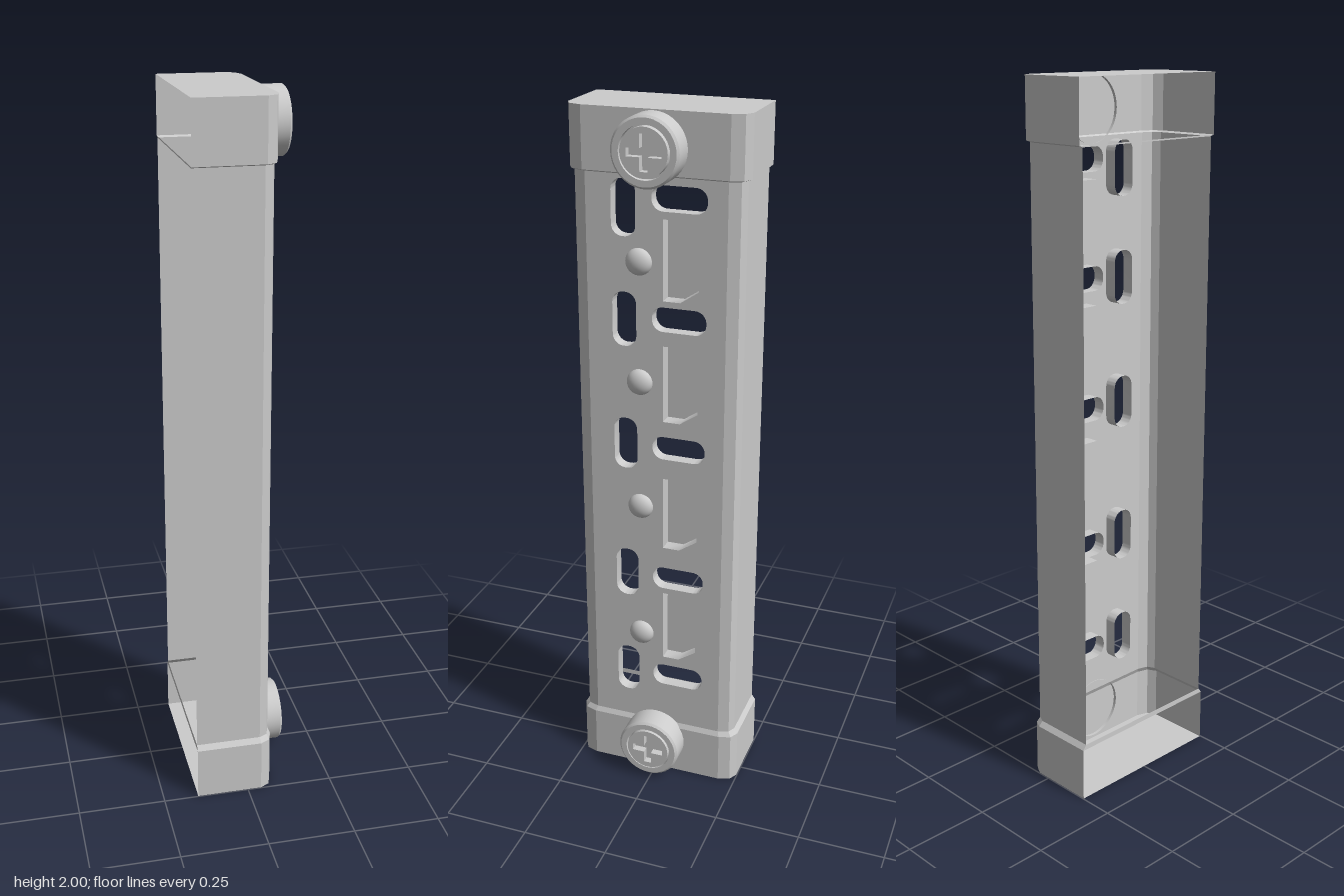
import * as THREE from 'three';
import { toCreasedNormals } from 'three/addons/utils/BufferGeometryUtils.js';

const material = new THREE.MeshStandardMaterial({ color: 0xcccccc, side: THREE.DoubleSide });

// Half cross-sections as [x, z], from the open back round to the front face
const CAP = [[-0.15, 0.248], [0.04, 0.248], [0.066, 0.234], [0.077, 0.2]];
const BODY = [[-0.15, 0.237], [0.037, 0.237], [0.06, 0.226], [0.07, 0.195]];
const FRONT = 0.07;
const BODY_LOW = 0.17, BODY_HIGH = 1.832;

const mirrored = (half) => [...half, ...half.map(([x, z]) => [x, -z]).reverse()];
const ring = (outline, y) => outline.map(([x, z]) => new THREE.Vector3(x, y, z));

// Flat-faced skin between successive rings of points
function skin(rings, closed = false) {
  const points = [];
  for (let r = 0; r + 1 < rings.length; r++) {
    const low = rings[r], high = rings[r + 1], n = low.length;
    for (let i = 0; i < (closed ? n : n - 1); i++) {
      const j = (i + 1) % n;
      points.push(low[i], low[j], high[j], low[i], high[j], high[i]);
    }
  }
  const geometry = new THREE.BufferGeometry().setFromPoints(points);
  geometry.computeVertexNormals();
  return geometry;
}

function add(parent, name, geometry) {
  const mesh = new THREE.Mesh(geometry, material);
  mesh.name = name;
  parent.add(mesh);
  return mesh;
}

// Rounded slot centred on (u, y)
function slot(u, y, w, h) {
  const r = Math.min(w, h) * 0.46, a = w / 2, b = h / 2;
  const path = new THREE.Path();
  path.absarc(u + a - r, y + b - r, r, 0, Math.PI / 2);
  path.absarc(u - a + r, y + b - r, r, Math.PI / 2, Math.PI);
  path.absarc(u - a + r, y - b + r, r, Math.PI, Math.PI * 1.5);
  path.absarc(u + a - r, y - b + r, r, Math.PI * 1.5, Math.PI * 2);
  path.closePath();
  return path;
}

function polygon(points, Type = THREE.Path) {
  return new Type(points.map(([u, y]) => new THREE.Vector2(u, y)));
}

// Wall running back from the edge of an opening
function openingWall(path, depth) {
  const points = path.getPoints(5);
  return toCreasedNormals(skin([0, -depth].map((d) =>
    points.map((p) => new THREE.Vector3(p.x, p.y, d)))), 0.6);
}

// Raised round fastener with a ring groove and cross recess, facing +z
function screw() {
  const group = new THREE.Group();
  group.name = 'screw';
  const profile = [[0.092, -0.002], [0.092, 0.068], [0.086, 0.074], [0.069, 0.074],
    [0.069, 0.055], [0.064, 0.055]].map(([r, d]) => new THREE.Vector2(r, d));
  const collar = new THREE.LatheGeometry(profile, 40).rotateX(Math.PI / 2);
  add(group, 'screwCollar', toCreasedNormals(collar, 0.5));

  const head = new THREE.Shape().absarc(0, 0, 0.064, 0, Math.PI * 2);
  const l = 0.047, w = 0.011;
  head.holes.push(polygon([[l, -w], [l, w], [w, w], [w, l], [-w, l], [-w, w],
    [-l, w], [-l, -w], [-w, -w], [-w, -l], [w, -l], [w, -w]]));
  const headGeometry = new THREE.ExtrudeGeometry(head, { depth: 0.027, bevelEnabled: false, curveSegments: 20 });
  add(group, 'screwHead', toCreasedNormals(headGeometry.translate(0, 0, 0.05), 0.5));
  add(group, 'crossRecessFloor', new THREE.CircleGeometry(0.06, 32).translate(0, 0, 0.056));
  return group;
}

export function createModel() {
  const model = new THREE.Group();
  model.name = 'slottedCover';

  // Side walls with chamfered front corners
  const otherSide = BODY.map(([x, z]) => [x, -z]).reverse();
  [['leftWall', BODY], ['rightWall', otherSide]].forEach(([name, outline]) =>
    add(model, name, skin([ring(outline, BODY_LOW), ring(outline, BODY_HIGH)])));

  // End caps: outer shell, step down to the body, closed end
  [['bottomCap', 0, 0.155, BODY_LOW], ['topCap', 2, 1.836, BODY_HIGH]].forEach(([name, end, edge, body]) => {
    const cap = new THREE.Group();
    cap.name = name;
    model.add(cap);
    const outer = mirrored(CAP), inner = mirrored(BODY);
    const up = end === 0;
    const shell = [ring(outer, end), ring(outer, edge)];
    const step = [ring(outer, edge), ring(inner, body)];
    add(cap, 'capShell', skin(up ? shell : shell.reverse()));
    add(cap, 'capStep', skin(up ? step : step.reverse(), true));
    const plate = new THREE.ShapeGeometry(polygon(outer.map(([x, z]) => [x, -z]), THREE.Shape));
    plate.rotateX(-Math.PI / 2).translate(0, end, 0);
    if (up) { // turn the lower plate to face down
      plate.scale(1, 1, -1);
      plate.index.array.reverse();
      plate.computeVertexNormals();
    }
    add(cap, 'capEnd', plate);
  });

  // Front panel, drawn flat with u = -z and then turned to face +x
  const panel = new THREE.Group();
  panel.name = 'frontPanel';
  panel.rotation.y = Math.PI / 2;
  panel.position.x = FRONT;
  model.add(panel);

  const half = 0.195;
  const sheet = polygon([[-half, BODY_LOW], [half, BODY_LOW], [half, BODY_HIGH], [-half, BODY_HIGH]], THREE.Shape);
  const cut = (name, path, depth) => {
    sheet.holes.push(path);
    add(panel, name, openingWall(path, depth));
  };

  // Through slots
  [1.745, 1.443, 1.08, 0.668, 0.336].forEach((y) => cut('uprightSlot', slot(-0.09, y, 0.068, 0.152), 0.035));
  [1.777, 1.453, 1.08, 0.668, 0.336].forEach((y) => cut('crosswiseSlot', slot(0.065, y, 0.152, 0.068), 0.035));

  // Blind pockets with one clipped corner
  [1.504, 1.159, 0.767, 0.398].forEach((y) => {
    const corners = [[0.02, y], [0.068, y], [0.12, y + 0.035], [0.12, y + 0.219], [0.02, y + 0.219], [0.02, y]];
    cut('pocketWall', polygon(corners), 0.04);
    const floor = new THREE.ShapeGeometry(polygon(corners.slice(0, 5), THREE.Shape));
    add(panel, 'pocketFloor', floor.translate(0, 0, -0.04));
  });
  add(panel, 'panelSheet', new THREE.ShapeGeometry(sheet, 5));

  // Domed studs
  [1.605, 1.268, 0.891, 0.472].forEach((y) => {
    const dome = new THREE.SphereGeometry(0.037, 24, 8, 0, Math.PI * 2, 0, Math.PI / 2);
    const stud = add(panel, 'stud', dome.rotateX(Math.PI / 2).scale(1, 1, 0.65));
    stud.position.set(-0.047, y, 0);
  });

  // Fasteners at both ends
  [0.107, 1.905].forEach((y) => {
    const fastener = screw();
    fastener.position.set(-0.003, y, 0);
    panel.add(fastener);
  });
  return model;
}
